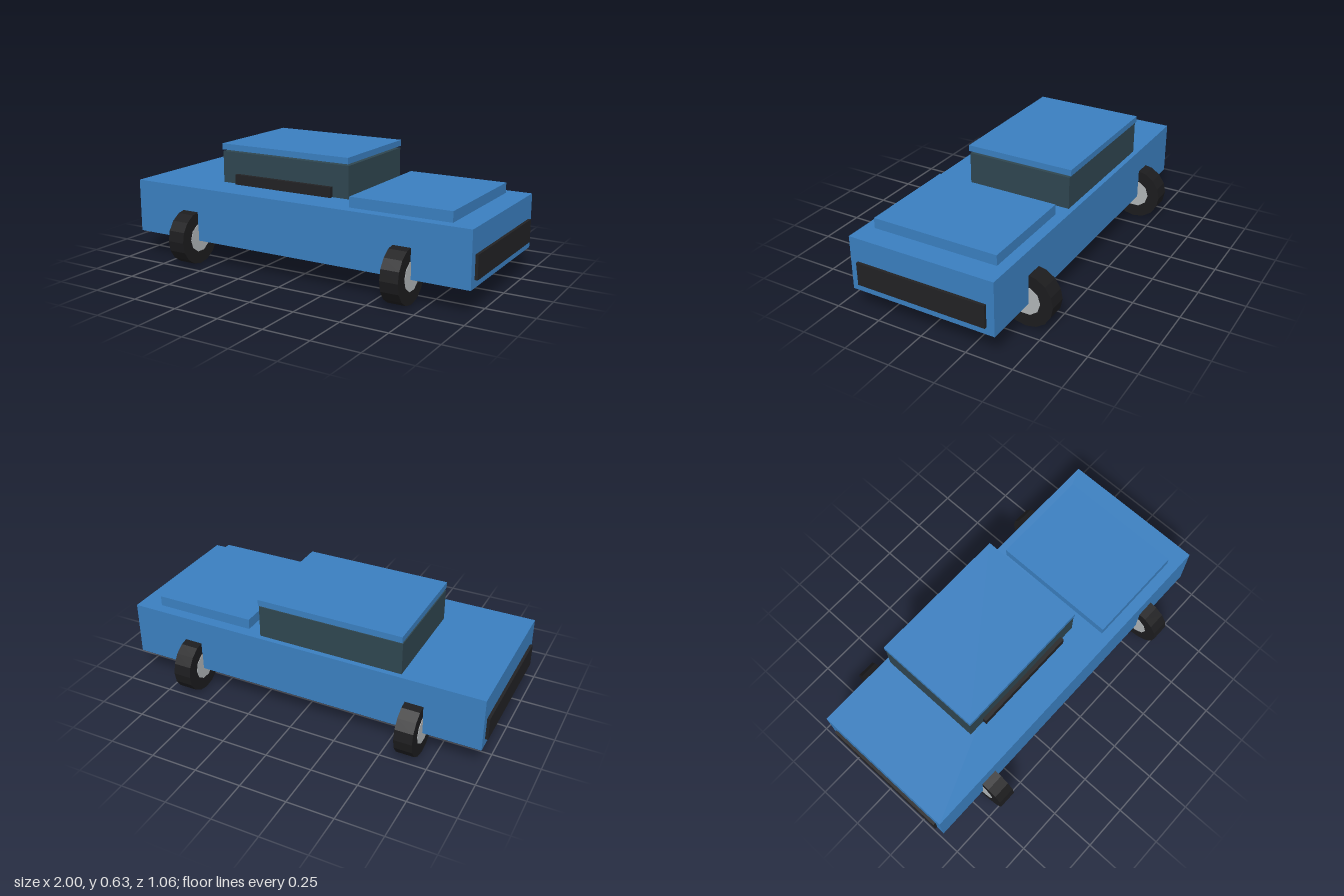
import * as THREE from 'three';

const material = (color) => new THREE.MeshStandardMaterial({ color, flatShading: true });

export function createModel() {
  const model = new THREE.Group();
  model.name = 'car';

  const paint = material(0x3a7fc0);
  const glass = material(0x2f4650);
  const trim = material(0x222224);
  const rubber = material(0x1c1c1e);
  const metal = material(0xb0b5b8);

  // Box given by its lower and upper corners
  function box(name, mat, [x0, y0, z0], [x1, y1, z1]) {
    const mesh = new THREE.Mesh(new THREE.BoxGeometry(x1 - x0, y1 - y0, z1 - z0), mat);
    mesh.position.set((x0 + x1) / 2, (y0 + y1) / 2, (z0 + z1) / 2);
    mesh.name = name;
    model.add(mesh);
  }

  // Bodywork
  box('body', paint, [-0.985, 0.13, -0.4], [0.985, 0.42, 0.4]);
  box('hood', paint, [0.315, 0.41, -0.342], [0.863, 0.475, 0.342]);

  // Cabin with a roof panel floating just above it
  box('cabin', glass, [-0.55, 0.41, -0.372], [0.232, 0.592, 0.203]);
  box('roof', paint, [-0.55, 0.602, -0.381], [0.232, 0.635, 0.21]);
  box('cabinTrim', trim, [-0.457, 0.42, 0.195], [0.137, 0.475, 0.225]);

  // Bumpers at both ends
  box('leftBumper', trim, [0.97, 0.17, -0.358], [1, 0.293, 0.358]);
  box('rightBumper', trim, [-1, 0.17, -0.358], [-0.97, 0.293, 0.358]);

  // Wheels, axles along x
  const tyreGeometry = new THREE.CylinderGeometry(0.145, 0.145, 0.097, 16).rotateZ(Math.PI / 2);
  const hubGeometry = new THREE.CylinderGeometry(0.078, 0.078, 0.102, 10).rotateZ(Math.PI / 2);
  for (const x of [-0.632, 0.632]) {
    for (const z of [-0.385, 0.385]) {
      const wheel = new THREE.Group();
      wheel.name = `${z > 0 ? 'front' : 'back'}${x > 0 ? 'Left' : 'Right'}Wheel`;
      const tyre = new THREE.Mesh(tyreGeometry, rubber);
      tyre.name = 'tyre';
      const hub = new THREE.Mesh(hubGeometry, metal);
      hub.name = 'hub';
      wheel.add(tyre, hub);
      wheel.position.set(x, 0.145, z);
      model.add(wheel);
    }
  }

  return model;
}
